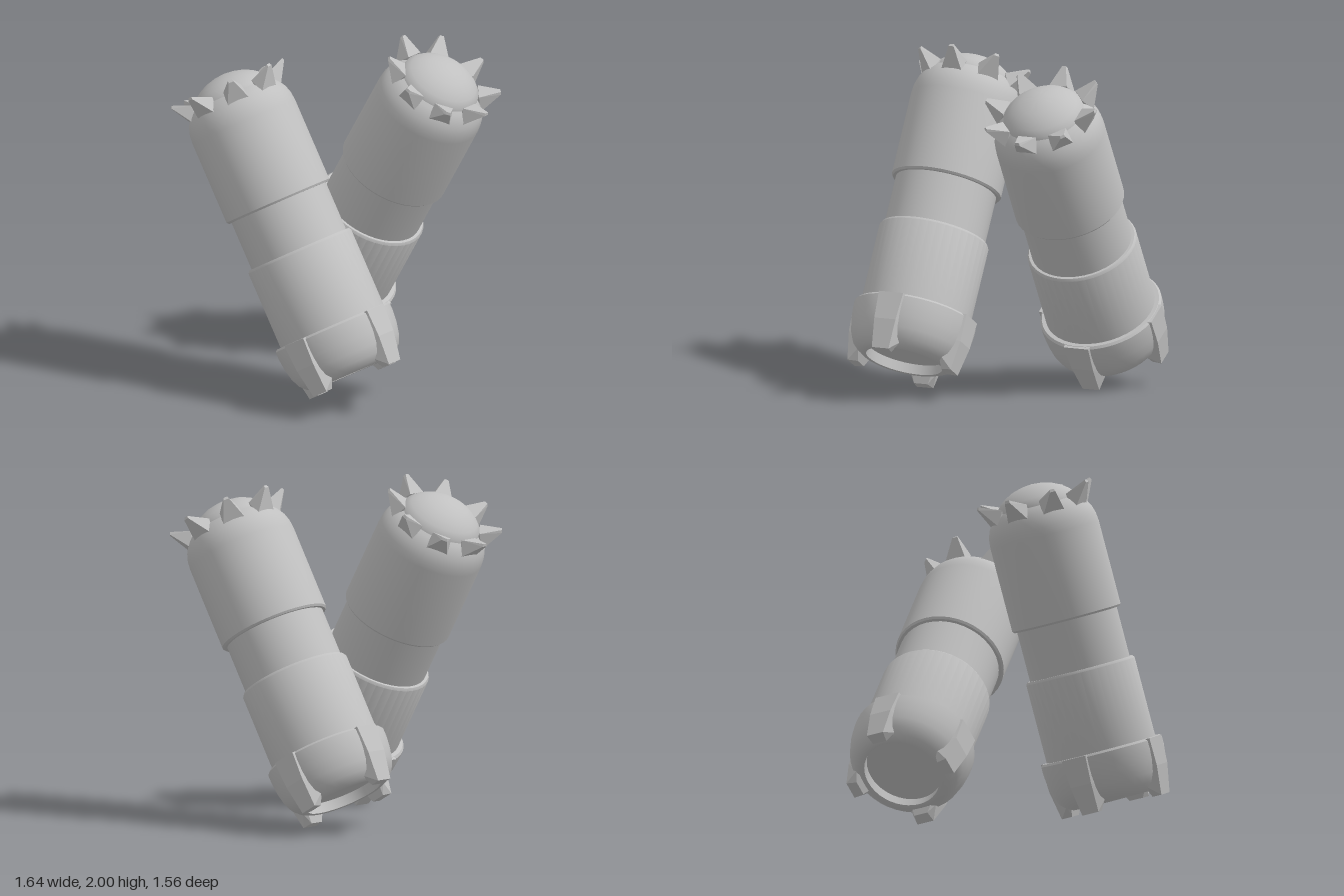
import * as THREE from 'three';
import { toCreasedNormals } from 'three/addons/utils/BufferGeometryUtils.js';
import { ConvexGeometry } from 'three/addons/geometries/ConvexGeometry.js';

const SEGMENTS = 40;

// Turned part from [radius, height] pairs, bottom to top
function turned(name, profile, material) {
  const lathe = new THREE.LatheGeometry(profile.map(([r, y]) => new THREE.Vector2(r, y)), SEGMENTS);
  const mesh = new THREE.Mesh(toCreasedNormals(lathe, 0.6), material);
  mesh.name = name;
  return mesh;
}

// Faceted solid from [halfWidth, height, radius] edges, mirrored across its width
function faceted(edges) {
  const points = [];
  for (const [w, y, r] of edges) {
    points.push(new THREE.Vector3(w, y, r), new THREE.Vector3(-w, y, r));
  }
  return new ConvexGeometry(points);
}

// Copies of one geometry spaced evenly around the axis
function ringOf(name, geometry, count, material) {
  const group = new THREE.Group();
  group.name = name + 's';
  for (let i = 0; i < count; i++) {
    const mesh = new THREE.Mesh(geometry, material);
    mesh.name = name;
    mesh.rotation.y = (i / count) * Math.PI * 2;
    group.add(mesh);
  }
  return group;
}

function createCanister(material) {
  const canister = new THREE.Group();

  // Base cup with a recessed underside
  canister.add(turned('baseCup', [
    [0, -0.875], [0.23, -0.875], [0.23, -0.935], [0.25, -0.937], [0.285, -0.92],
    [0.32, -0.885], [0.345, -0.83], [0.36, -0.76], [0.367, -0.69],
    [0.367, -0.645], [0.355, -0.632], [0.32, -0.632],
  ], material));

  // Lower sleeve, neck and upper sleeve
  canister.add(turned('lowerSleeve', [
    [0.33, -0.66], [0.33, -0.155], [0.32, -0.14], [0.29, -0.14],
  ], material));
  canister.add(turned('neck', [[0.303, -0.16], [0.303, 0.18]], material));
  canister.add(turned('upperSleeve', [
    [0.29, 0.16], [0.32, 0.16], [0.33, 0.172], [0.33, 0.68], [0.325, 0.73],
    [0.311, 0.775], [0.288, 0.815], [0.262, 0.845], [0.23, 0.868],
  ], material));

  // Domed cap
  canister.add(turned('domeCap', [
    [0.245, 0.85], [0.238, 0.876], [0.21, 0.908], [0.17, 0.938],
    [0.12, 0.963], [0.06, 0.979], [0, 0.985],
  ], material));

  // Blunt spikes around the shoulder
  const spike = faceted([
    [0.068, 0.795, 0.285], [0.058, 0.882, 0.235], [0.05, 0.79, 0.24],
    [0.017, 0.918, 0.362], [0.012, 0.934, 0.356],
  ]);
  canister.add(ringOf('spike', spike, 8, material));

  // Tapered feet around the base cup
  const foot = faceted([
    [0.08, -0.634, 0.371], [0.09, -0.634, 0.31],
    [0.07, -0.8, 0.368], [0.09, -0.8, 0.3],
    [0.055, -0.975, 0.34], [0.045, -0.975, 0.275], [0.085, -0.91, 0.275],
    [0.07, -0.9, 0.25],
  ]);
  canister.add(ringOf('foot', foot, 4, material));
  return canister;
}

export function createModel() {
  const model = new THREE.Group();
  model.name = 'crossedCanisters';
  const grey = new THREE.MeshStandardMaterial({ color: 0xc0c0c0 });
  grey.name = 'light grey';

  // Matching pair leaning opposite ways
  for (const side of [1, -1]) {
    const canister = createCanister(grey);
    canister.name = side > 0 ? 'leftCanister' : 'rightCanister';
    canister.position.set(0.45 * side, 1.015, 0);
    canister.rotation.x = (Math.PI / 6) * side;
    model.add(canister);
  }
  return model;
}
